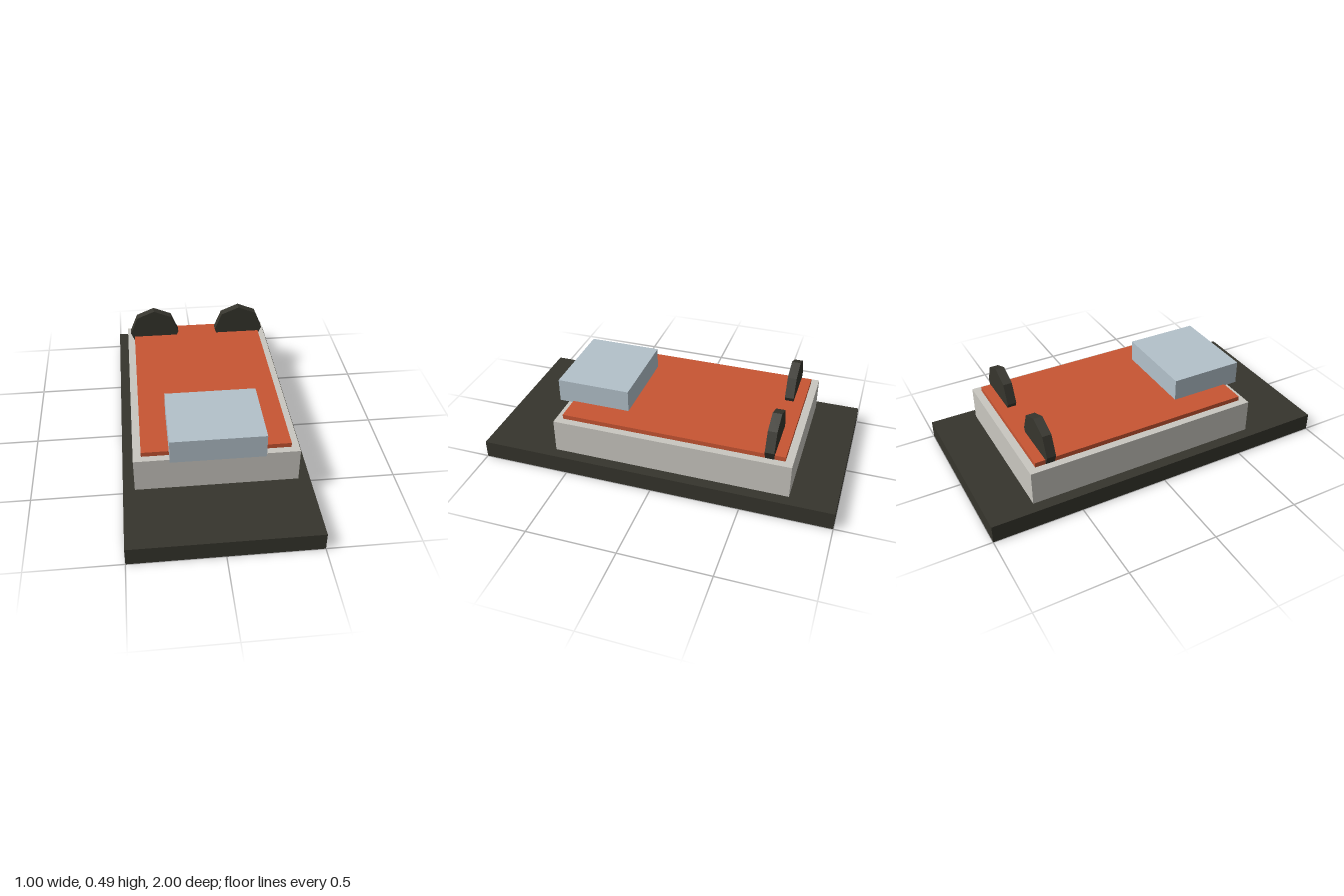
import * as THREE from 'three';

const material = (name, color) => {
  const m = new THREE.MeshStandardMaterial({ color, flatShading: true });
  m.name = name;
  return m;
};

export function createModel() {
  const model = new THREE.Group();
  model.name = 'model';
  const charcoal = material('charcoal', 0x36352d);
  const stone = material('stone grey', 0xc9c7c0);
  const orange = material('burnt orange', 0xc85533);
  const paleBlue = material('pale blue', 0xb3c1ca);

  // Box symmetric in x, given its width and its y and z ranges
  const addBox = (name, mat, width, [y0, y1], [z0, z1]) => {
    const mesh = new THREE.Mesh(new THREE.BoxGeometry(width, y1 - y0, z1 - z0), mat);
    mesh.name = name;
    mesh.position.set(0, (y0 + y1) / 2, (z0 + z1) / 2);
    model.add(mesh);
  };

  addBox('base', charcoal, 1, [0, 0.1], [-1, 1]);
  addBox('body', stone, 0.875, [0.1, 0.292], [-0.75, 0.583]);
  addBox('topPanel', orange, 0.79, [0.288, 0.318], [-0.708, 0.544]);
  addBox('frontBlock', paleBlue, 0.5, [0.309, 0.442], [0.209, 0.625]);

  // Octagonal discs standing upright, partly sunk into the body
  for (const [side, name] of [[1, 'leftDisc'], [-1, 'rightDisc']]) {
    const disc = new THREE.Mesh(new THREE.CylinderGeometry(0.15, 0.15, 0.05, 8), charcoal);
    disc.name = name;
    disc.rotation.x = Math.PI / 2;
    disc.position.set(side * 0.267, 0.342, -0.625);
    model.add(disc);
  }

  return model;
}
